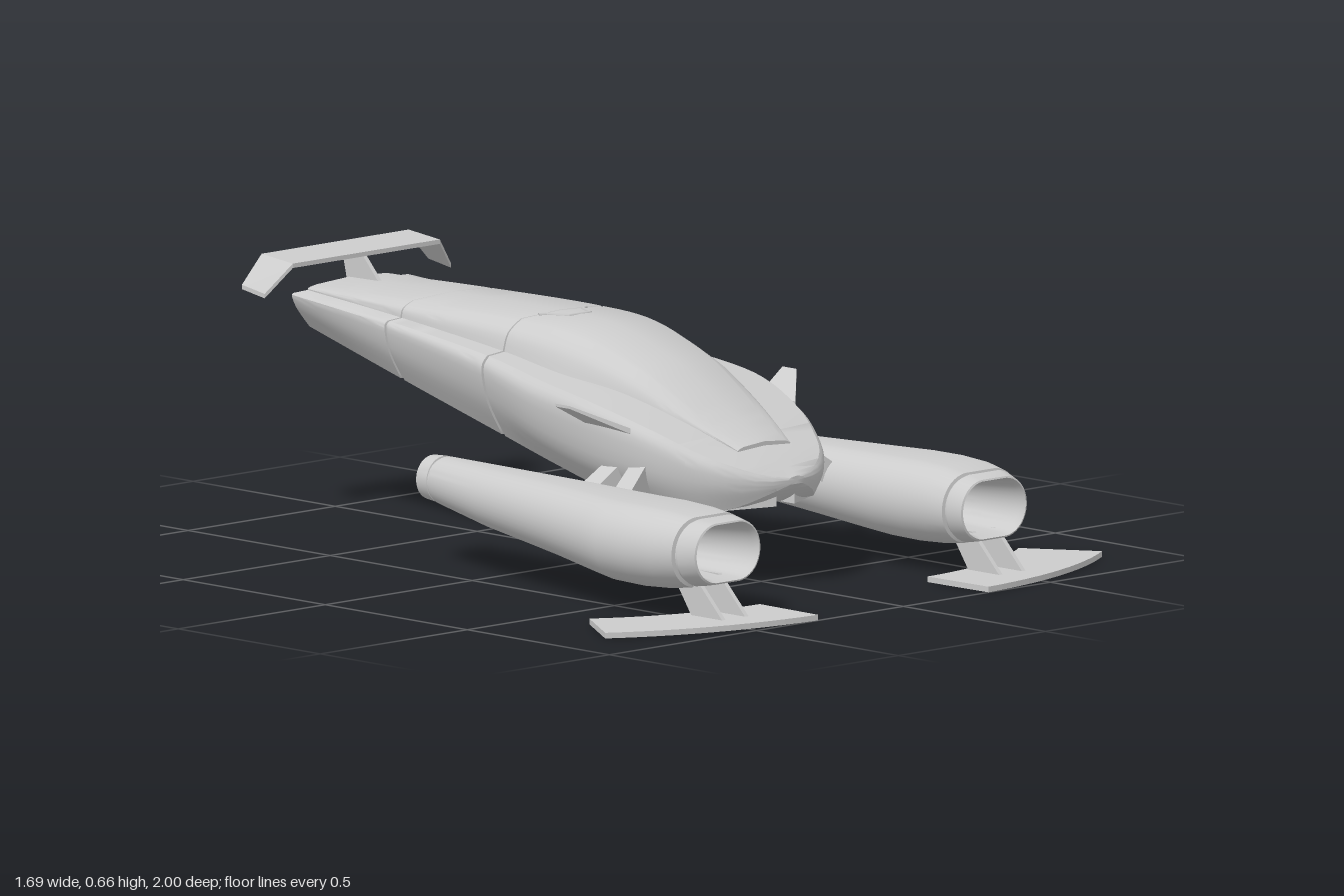
import * as THREE from 'three';
import { toCreasedNormals } from 'three/addons/utils/BufferGeometryUtils.js';

const mat = new THREE.MeshStandardMaterial({ color: 0xcccccc, side: THREE.DoubleSide });

// Skin a list of closed rings (arrays of [x, y, z]) and cap both ends
function loft(rings, crease = 0.55) {
  const n = rings[0].length, pos = rings.flat(2), idx = [];
  for (let i = 0; i < rings.length - 1; i++) {
    for (let j = 0; j < n; j++) {
      const a = i * n + j, b = i * n + (j + 1) % n;
      idx.push(a, a + n, b, b, a + n, b + n);
    }
  }
  [0, rings.length - 1].forEach((r, end) => {
    const c = pos.length / 3;
    for (let k = 0; k < 3; k++) pos.push(rings[r].reduce((s, p) => s + p[k], 0) / n);
    for (let j = 0; j < n; j++) {
      const a = r * n + j, b = r * n + (j + 1) % n;
      if (end) idx.push(c, b, a); else idx.push(c, a, b);
    }
  });
  const g = new THREE.BufferGeometry();
  g.setAttribute('position', new THREE.Float32BufferAttribute(pos, 3));
  g.setIndex(idx);
  return toCreasedNormals(g, crease);
}

// Mirrored copy across x = 0 with the corner order restored
function mirrored(geo) {
  const g = geo.index ? geo.toNonIndexed() : geo.clone();
  g.scale(-1, 1, 1);
  for (const attr of Object.values(g.attributes)) {
    const s = attr.itemSize, a = attr.array;
    for (let i = 0; i < a.length; i += 3 * s) {
      for (let k = 0; k < s; k++) [a[i + s + k], a[i + 2 * s + k]] = [a[i + 2 * s + k], a[i + s + k]];
    }
  }
  return g;
}

// Smooth interpolation of table rows keyed by their first column (descending)
function sample(rows, z) {
  let i = 0;
  while (i < rows.length - 2 && z < rows[i + 1][0]) i++;
  const a = rows[i], b = rows[i + 1], p = rows[Math.max(i - 1, 0)], q = rows[Math.min(i + 2, rows.length - 1)];
  const h = b[0] - a[0], t = (z - a[0]) / h, t2 = t * t, t3 = t2 * t;
  return a.map((v, k) => {
    const m0 = (b[k] - p[k]) / (b[0] - p[0]) * h, m1 = (q[k] - v) / (q[0] - a[0]) * h;
    return (2 * t3 - 3 * t2 + 1) * v + (t3 - 2 * t2 + t) * m0 + (3 * t2 - 2 * t3) * b[k] + (t3 - t2) * m1;
  });
}

// Rounded outline through a few [x, y] points
const smooth = (pts, n) => new THREE.SplineCurve(pts.map(p => new THREE.Vector2(...p))).getPoints(n).map(p => [p.x, p.y]);

// Body stations, with sunken rings where the panel seams run
const seams = [-0.2, -0.585];
function bodyLoft(rows, half) {
  const z0 = rows[0][0], z1 = rows[rows.length - 1][0];
  const st = [];
  for (let i = 0; i <= 44; i++) {
    const z = z0 + (z1 - z0) * Math.pow(i / 44, 1.25);
    if (!seams.some(s => Math.abs(z - s) < 0.012)) st.push([z, 1]);
  }
  for (const s of seams) st.push([s + 0.007, 1], [s + 0.006, 0.975], [s - 0.006, 0.975], [s - 0.007, 1]);
  st.sort((a, b) => b[0] - a[0]);
  return loft(st.map(([z, k]) => {
    const h = half(sample(rows, z));
    const ring = [...h, ...h.slice(1, -1).reverse().map(([x, y]) => [-x, y])];
    const mid = (h[0][1] + h[h.length - 1][1]) / 2;
    // the tail end leans back towards the top
    return ring.map(([x, y]) => [x * k, mid + (y - mid) * k, z === z1 ? z - (y - 0.47) * 0.3 : z]);
  }));
}

// Flat-sided blade between two [x, [[z, y] x 4]] ends, outer end first
const blade = (...ends) => loft(ends.map(([x, q]) => q.map(([z, y]) => [x, y, z])), 0.2);
const quad = (zf, zr, y0, y1) => [[zf, y0], [zr, y0], [zr, y1], [zf, y1]];

export function createModel() {
  const group = new THREE.Group();
  const add = (name, geo) => {
    const m = new THREE.Mesh(geo, mat);
    m.name = name;
    group.add(m);
  };
  const addBoth = (name, geo) => {
    add(name + 'Left', geo);
    add(name + 'Right', mirrored(geo));
  };

  // Hull: z, then bottom edge, lower side, widest point, shoulder (x, y each), deck height
  const hull = [
    [0.625, 0.02, 0.258, 0.026, 0.264, 0.028, 0.27, 0.02, 0.275, 0.278],
    [0.6, 0.075, 0.235, 0.09, 0.253, 0.094, 0.272, 0.08, 0.284, 0.292],
    [0.55, 0.13, 0.205, 0.16, 0.25, 0.165, 0.29, 0.15, 0.31, 0.32],
    [0.48, 0.18, 0.19, 0.213, 0.255, 0.22, 0.315, 0.2, 0.34, 0.352],
    [0.38, 0.21, 0.188, 0.258, 0.27, 0.267, 0.355, 0.245, 0.385, 0.395],
    [0.2, 0.215, 0.208, 0.285, 0.29, 0.305, 0.4, 0.285, 0.44, 0.46],
    [0, 0.21, 0.252, 0.275, 0.33, 0.297, 0.43, 0.275, 0.472, 0.495],
    [-0.2, 0.2, 0.3, 0.25, 0.385, 0.27, 0.47, 0.25, 0.502, 0.525],
    [-0.6, 0.17, 0.391, 0.211, 0.46, 0.226, 0.522, 0.215, 0.538, 0.552],
    [-0.945, 0.14, 0.47, 0.182, 0.518, 0.2, 0.552, 0.195, 0.56, 0.566]];
  add('hull', bodyLoft(hull, r =>
    [[0, r[2]], ...smooth([[r[1], r[2]], [r[3], r[4]], [r[5], r[6]], [r[7], r[8]]], 12), [0, r[9]]]));

  // Canopy running back into the spine: z, base (x, y), top edge (x, y)
  const spine = [
    [0.51, 0.08, 0.32, 0.07, 0.345],
    [0.4, 0.125, 0.37, 0.09, 0.4],
    [0.3, 0.155, 0.4, 0.105, 0.457],
    [0.2, 0.178, 0.43, 0.115, 0.508],
    [0, 0.205, 0.468, 0.128, 0.57],
    [-0.2, 0.198, 0.5, 0.135, 0.583],
    [-0.6, 0.172, 0.535, 0.13, 0.58],
    [-0.945, 0.145, 0.555, 0.115, 0.574]];
  add('canopySpine', bodyLoft(spine, ([, wc, yc, wt, yt]) =>
    [[0, yc], ...smooth([[wc, yc], [(wc + wt) / 2 + 0.014, yc + (yt - yc) * 0.6], [wt, yt - 0.002]], 8), [0, yt + 0.004]]));

  // Notched trim line behind the canopy
  const notch = [[-0.08, -0.2], [-0.06, -0.19], [-0.035, -0.138], [0.035, -0.138], [0.06, -0.19], [0.08, -0.2]];
  const trim = new THREE.CurvePath();
  for (let i = 0; i < notch.length - 1; i++) {
    const [a, b] = [notch[i], notch[i + 1]].map(([x, z]) => new THREE.Vector3(x, 0.584, z));
    trim.add(new THREE.LineCurve3(a, b));
  }
  add('canopyTrim', new THREE.TubeGeometry(trim, 50, 0.005, 5));

  // Chin plates under the nose
  addBoth('chinPlate', blade([0.17, quad(0.5, 0.44, 0.192, 0.26)], [0.03, quad(0.585, 0.5, 0.2, 0.245)]));

  // Engine pods: z, centre x, centre y, half width, half height; from intake to nozzle
  const pod = [
    [0.6, 0.455, 0.165, 0.07, 0.05], [0.72, 0.455, 0.168, 0.083, 0.058], [0.835, 0.453, 0.17, 0.1, 0.066],
    [0.852, 0.453, 0.17, 0.107, 0.072], [0.85, 0.453, 0.17, 0.112, 0.076], [0.808, 0.458, 0.17, 0.126, 0.084],
    [0.806, 0.458, 0.17, 0.121, 0.079], [0.797, 0.459, 0.17, 0.121, 0.079], [0.795, 0.46, 0.17, 0.131, 0.087],
    [0.73, 0.466, 0.17, 0.143, 0.096], [0.65, 0.468, 0.17, 0.149, 0.1], [0.55, 0.467, 0.171, 0.148, 0.099],
    [0.48, 0.459, 0.174, 0.14, 0.096], [0.3, 0.438, 0.183, 0.119, 0.087], [0, 0.408, 0.196, 0.088, 0.073],
    [-0.213, 0.382, 0.208, 0.062, 0.059], [-0.214, 0.381, 0.208, 0.057, 0.054], [-0.223, 0.381, 0.208, 0.057, 0.054],
    [-0.224, 0.38, 0.209, 0.06, 0.058], [-0.265, 0.379, 0.21, 0.056, 0.055], [-0.265, 0.379, 0.21, 0.05, 0.049],
    [-0.1, 0.385, 0.205, 0.04, 0.04]];
  addBoth('enginePod', loft(pod.map(([z, cx, cy, hw, hh]) => {
    const ring = [];
    for (let j = 0; j < 40; j++) {
      const a = (j + 0.5) / 40 * Math.PI * 2, c = Math.cos(a);
      ring.push([cx + Math.sign(c) * Math.max(hw - hh, 0) + c * Math.min(hh, hw), cy + hh * Math.sin(a), z]);
    }
    return ring;
  })));

  // Twin pylons joining each pod to the hull
  addBoth('frontPylon', blade([0.37, quad(0.4, 0.34, 0.18, 0.225)], [0.24, quad(0.36, 0.31, 0.22, 0.32)]));
  addBoth('rearPylon', blade([0.37, quad(0.27, 0.21, 0.18, 0.225)], [0.24, quad(0.29, 0.24, 0.22, 0.32)]));

  // Small side fins
  addBoth('sideFin', blade([0.386, quad(0.225, 0.175, 0.44, 0.447)], [0.28, quad(0.33, 0.2, 0.378, 0.392)]));

  // Curved ground-effect plates and their struts
  const plate = new THREE.Shape();
  plate.moveTo(0.285, -0.79);
  plate.lineTo(0.29, -1);
  plate.quadraticCurveTo(0.61, -0.98, 0.845, -0.825);
  plate.lineTo(0.73, -0.65);
  plate.quadraticCurveTo(0.54, -0.785, 0.285, -0.79);
  const plateGeo = new THREE.ExtrudeGeometry(plate, { depth: 0.014, bevelEnabled: false, curveSegments: 12 });
  plateGeo.rotateX(-Math.PI / 2);
  addBoth('frontPlate', plateGeo);
  const strut = [[0.9, 0.01], [0.79, 0.01], [0.72, 0.11], [0.8, 0.11]];
  [['innerStrut', 0.432], ['outerStrut', 0.51]].forEach(([name, x]) =>
    addBoth(name, blade([x + 0.006, strut], [x - 0.006, strut])));

  // Rear wing with drooping tips, on a central fin
  const t = 0.011;
  const chord = (x, zf, yf, yr) => [x, [[zf, yf - t], [-1, yr - t], [-1, yr], [zf, yf]]];
  add('rearWing', blade(chord(0.317, -0.92, 0.575, 0.588), chord(0.25, -0.89, 0.646, 0.657),
    chord(-0.25, -0.89, 0.646, 0.657), chord(-0.317, -0.92, 0.575, 0.588)));
  const fin = [[-0.83, 0.565], [-0.95, 0.56], [-0.97, 0.645], [-0.9, 0.64]];
  add('wingSupport', blade([0.006, fin], [-0.006, fin]));

  return group;
}
